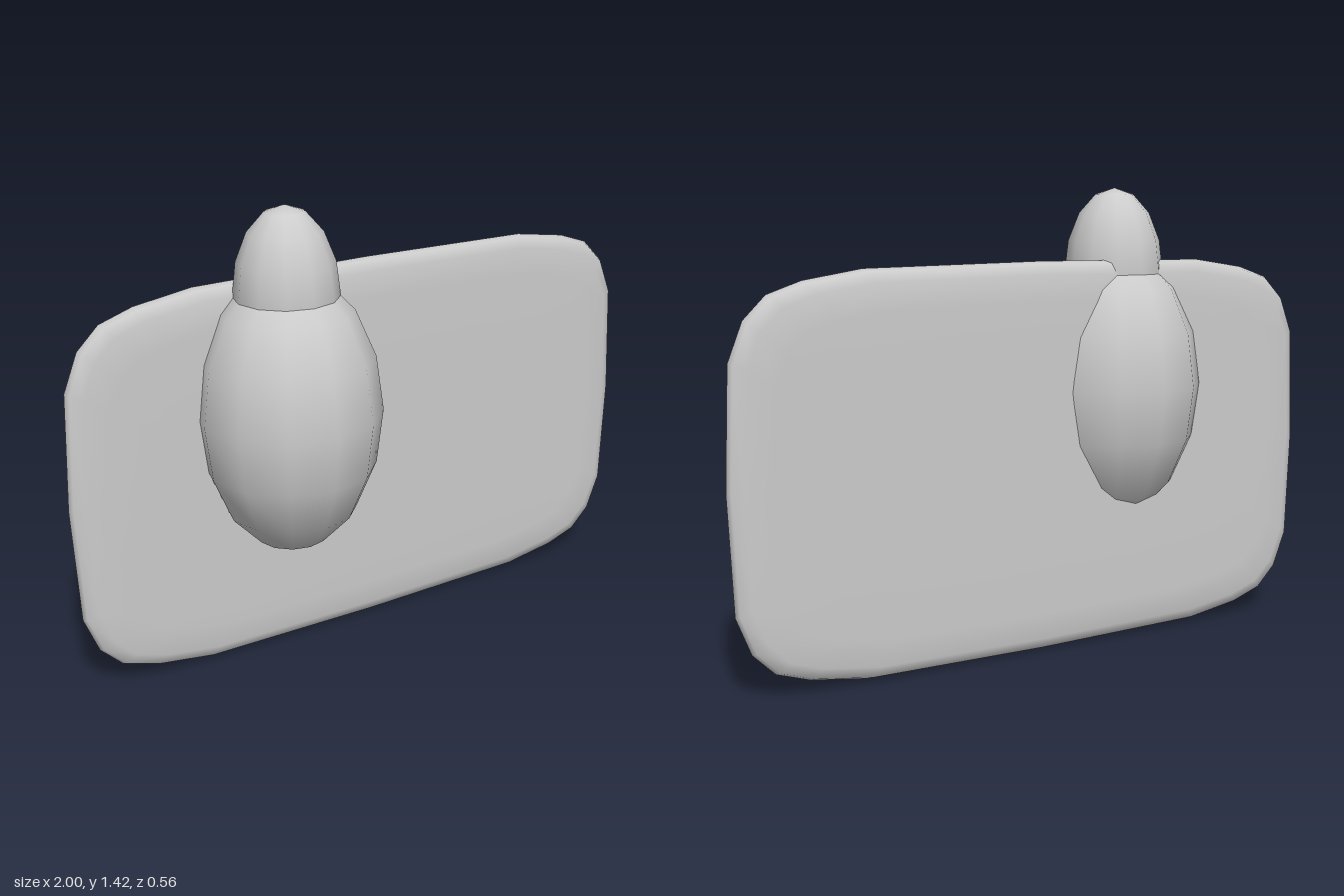
import * as THREE from 'three';

const grey = new THREE.MeshStandardMaterial({ color: 0xcccccc });
grey.name = 'plainGrey';

// Ellipsoid with 12 sides and 8 bands
function ellipsoid(name, radius, height, x, y, z) {
  const mesh = new THREE.Mesh(new THREE.SphereGeometry(1, 12, 8), grey);
  mesh.name = name;
  mesh.scale.set(radius, height, radius);
  mesh.position.set(x, y, z);
  return mesh;
}

// Thin cushion-edged board: one outline, inset ring by ring towards both faces
function boardGeometry() {
  const quarter = [[1, 0], [0.985, 0.35], [0.94, 0.463], [0.872, 0.53], [0.768, 0.565], [0.585, 0.593], [0, 0.6]];
  const back = quarter.slice(0, -1).reverse().map(([x, y]) => [-x, y]);
  const half = [...quarter, ...back];
  const outline = [...half, ...half.slice(1, -1).map(([x, y]) => [-x, -y])];

  // [inset, z] from front face to rim
  const front = [[1, 0.037], [0.3, 0.037], [0.12, 0.0365], [0.04, 0.033], [0.008, 0.018]];
  const rings = [...front, [0, 0], ...[...front].reverse().map(([i, z]) => [i, -z])];

  const n = outline.length;
  const positions = [];
  const indices = [];
  rings.forEach(([inset, z], k) => {
    const sx = 1 - inset;
    const sy = Math.max(0, 1 - inset / 0.6);
    outline.forEach(([x, y], j) => {
      positions.push(x * sx, inset === 1 ? 0 : y * sy, z);
      if (k === rings.length - 1) return;
      const a = k * n + j;
      const b = k * n + (j + 1) % n;
      if (k > 0) indices.push(a, a + n, b);
      if (k < rings.length - 2) indices.push(b, a + n, b + n);
    });
  });
  const geometry = new THREE.BufferGeometry();
  geometry.setAttribute('position', new THREE.Float32BufferAttribute(positions, 3));
  geometry.setIndex(indices);
  geometry.computeVertexNormals();
  return geometry;
}

export function createModel() {
  const group = new THREE.Group();
  group.name = 'figureWithBoard';

  const board = new THREE.Mesh(boardGeometry(), grey);
  board.name = 'board';
  board.position.set(0, 0.602, -0.1);
  group.add(board);

  // Egg-shaped body with a smaller domed head sunk into it
  group.add(ellipsoid('body', 0.279, 0.436, -0.335, 0.802, 0));
  group.add(ellipsoid('head', 0.156, 0.265, -0.335, 1.155, 0));
  return group;
}
